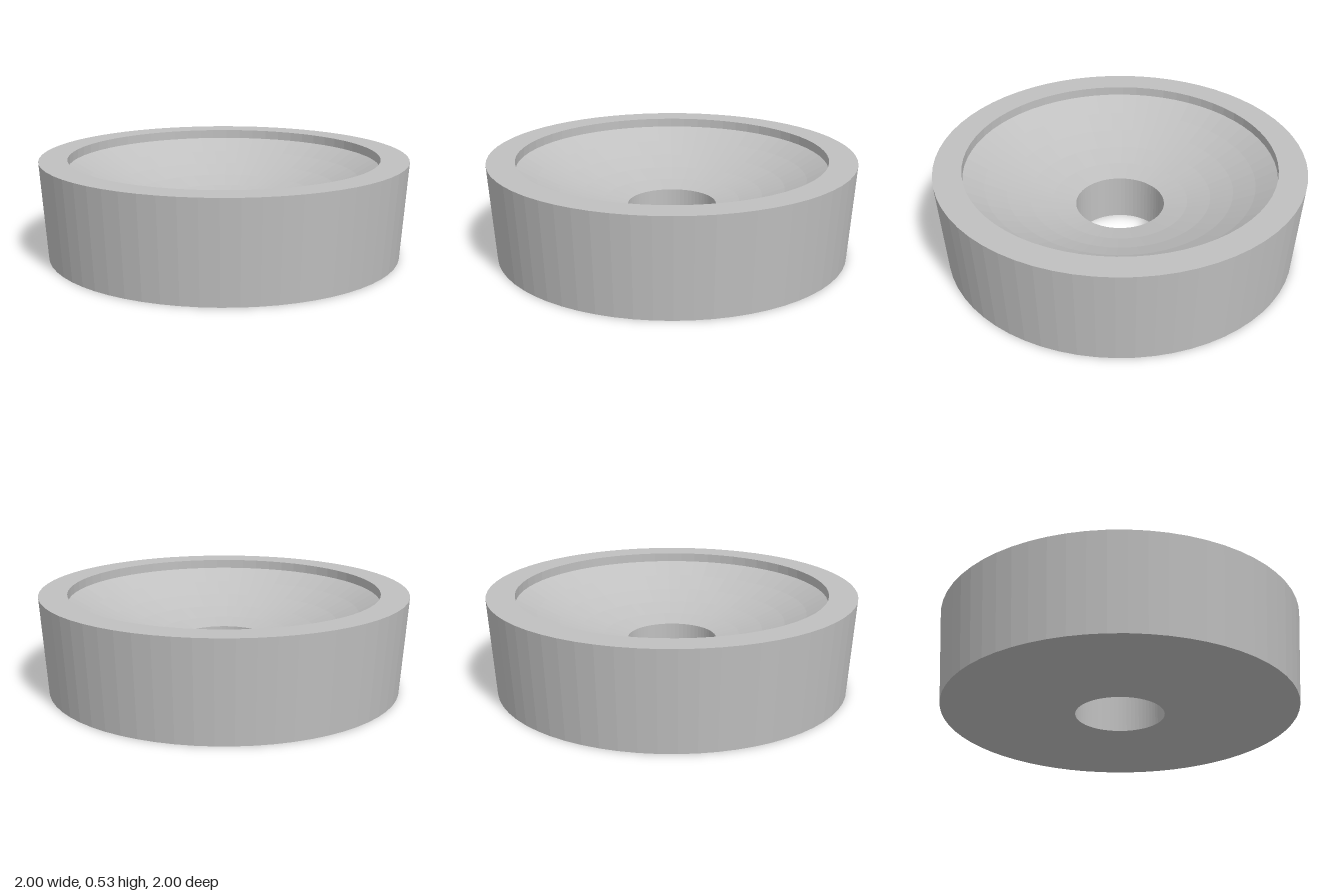
import * as THREE from 'three';

const SEGMENTS = 64;

export function createModel() {
  const model = new THREE.Group();
  model.name = 'dishedRing';

  const grey = new THREE.MeshStandardMaterial({ color: 0xc0c0c0, flatShading: true });
  grey.name = 'grey';

  // Revolve a profile of [radius, height] points, ordered so faces look outward
  const addRing = (name, points) => {
    const profile = points.map(([r, y]) => new THREE.Vector2(r, y));
    const mesh = new THREE.Mesh(new THREE.LatheGeometry(profile, SEGMENTS), grey);
    mesh.name = name;
    model.add(mesh);
  };

  const hole = 0.243, base = 0.965, lip = 0.847;
  const height = 0.53, bowlTop = 0.48;

  // Flat underside, tapered outer wall, flat rim and short inner step
  addRing('outerBody', [[hole, 0], [base, 0], [1, height], [lip, height], [lip, bowlTop]]);

  // Shallow spherical bowl, in five bands of equal angle
  const radius = 1.604;
  const a0 = Math.asin(lip / radius), a1 = Math.asin(hole / radius);
  const centreY = bowlTop + radius * Math.cos(a0);
  const bowl = [];
  for (let i = 0; i <= 5; i++) {
    const a = a0 + (a1 - a0) * i / 5;
    bowl.push([radius * Math.sin(a), centreY - radius * Math.cos(a)]);
  }
  addRing('bowl', bowl);

  // Straight hole through the middle
  addRing('centreHole', [bowl[5], [hole, 0]]);

  return model;
}
